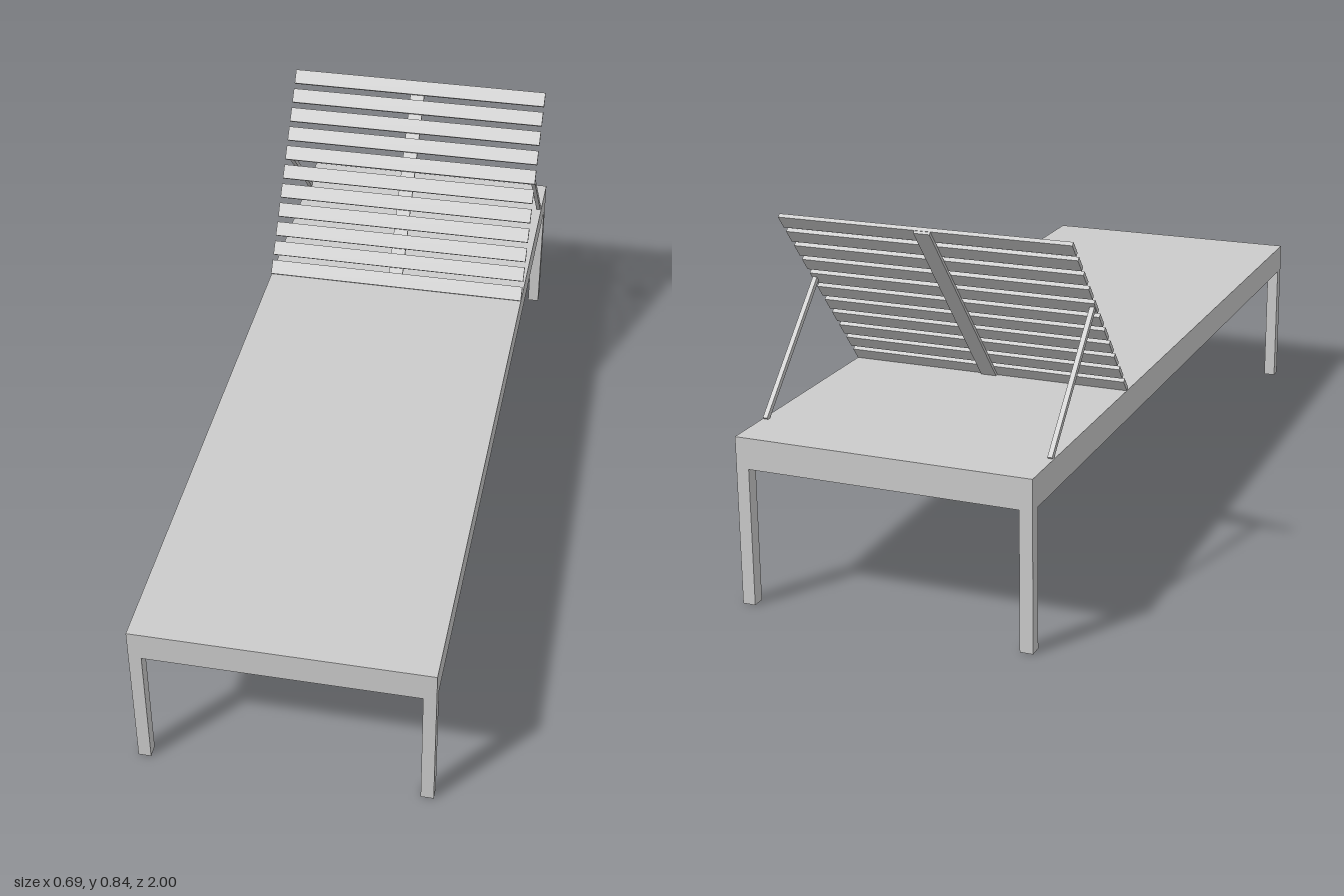
import * as THREE from 'three';

const material = new THREE.MeshStandardMaterial({ color: 0xcccccc });

function box(name, size, pos, parent) {
  const mesh = new THREE.Mesh(new THREE.BoxGeometry(...size), material);
  mesh.name = name;
  mesh.position.set(...pos);
  parent.add(mesh);
  return mesh;
}

export function createModel() {
  const lounger = new THREE.Group();
  lounger.name = 'sunLounger';

  const halfW = 0.346, halfL = 1, deckY = 0.394, skirtY = 0.322;
  const sheet = 0.003, leg = 0.03;

  // Thin deck with a skirt around it, open underneath
  const skirtH = deckY - skirtY, skirtMid = (deckY + skirtY) / 2;
  box('deck', [halfW * 2, sheet, halfL * 2], [0, deckY - sheet / 2, 0], lounger);
  for (const s of [-1, 1]) {
    box('sideSkirt', [sheet, skirtH, halfL * 2], [s * (halfW - sheet / 2), skirtMid, 0], lounger);
    box('endSkirt', [halfW * 2, skirtH, sheet], [0, skirtMid, s * (halfL - sheet / 2)], lounger);
  }

  // Square corner legs
  const legH = deckY - sheet;
  for (const sx of [-1, 1]) {
    for (const sz of [-1, 1]) {
      box(sz > 0 ? 'frontLeg' : 'backLeg', [leg, legH, leg],
        [sx * (halfW - leg / 2), legH / 2, sz * (halfL - leg / 2)], lounger);
    }
  }

  // Reclined backrest: slats on a central spine
  const backrest = new THREE.Group();
  backrest.name = 'backrest';
  backrest.position.set(0, 0.411, -0.416);
  backrest.rotation.x = THREE.MathUtils.degToRad(-39.9);
  lounger.add(backrest);
  const slats = 11, pitch = 0.0531;
  for (let i = 0; i < slats; i++) {
    box('slat', [halfW * 2, 0.038, 0.01], [0, i * pitch, 0], backrest);
  }
  const spineLow = -0.022, spineHigh = (slats - 1) * pitch + 0.018;
  box('spine', [0.038, spineHigh - spineLow, 0.008],
    [-0.003, (spineLow + spineHigh) / 2, -0.008], backrest);

  // Slanted props from the deck to the backrest
  const top = new THREE.Vector2(-0.62, 0.655), foot = new THREE.Vector2(-0.878, deckY);
  const run = top.clone().sub(foot), mid = top.clone().add(foot).multiplyScalar(0.5);
  for (const s of [-1, 1]) {
    const prop = box('prop', [0.011, run.length(), 0.012], [s * 0.338, mid.y, mid.x], lounger);
    prop.rotation.x = Math.atan2(run.x, run.y);
  }

  return lounger;
}
